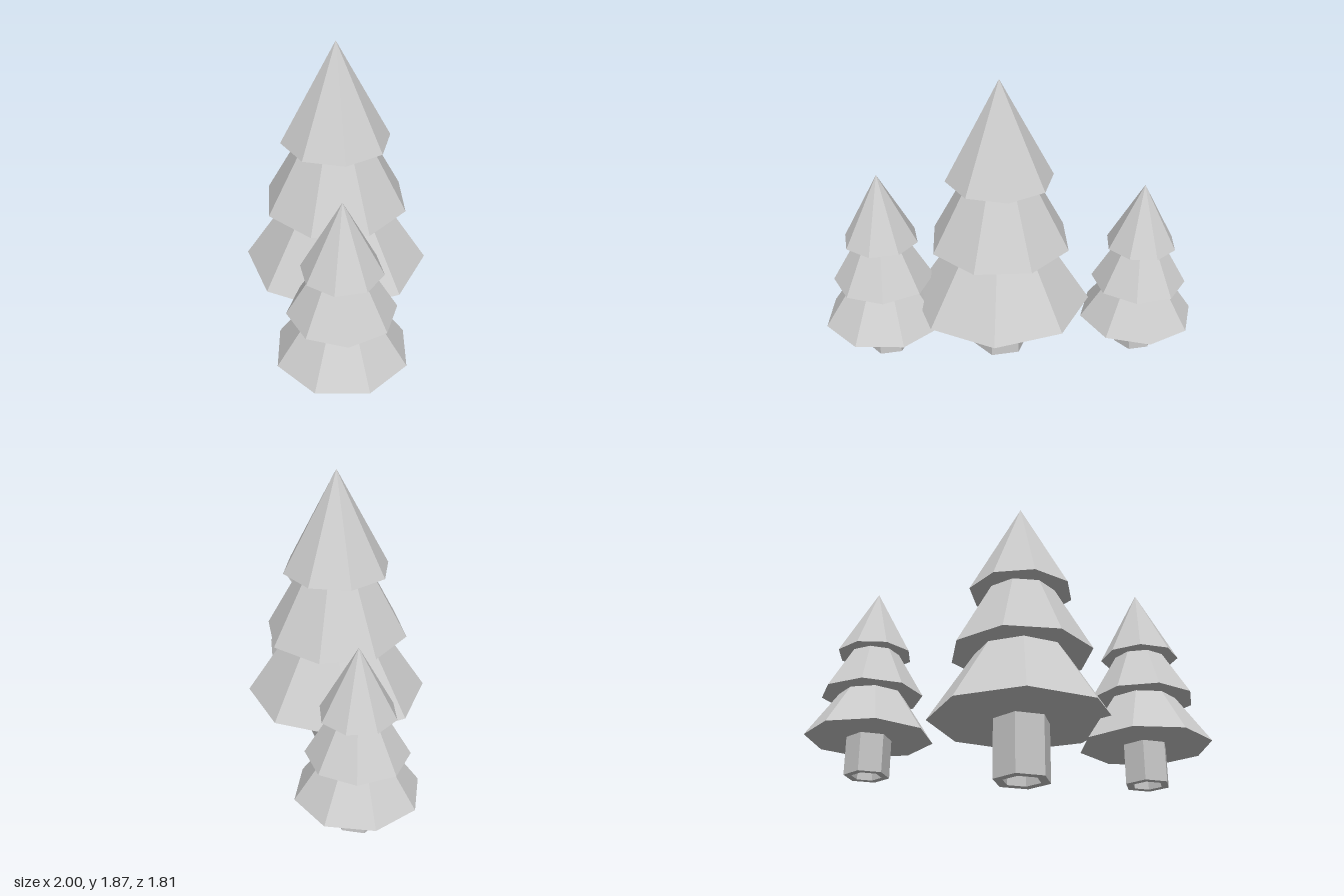
import * as THREE from 'three';

const DEG = Math.PI / 180;

export function createModel() {
  const grey = new THREE.MeshStandardMaterial({ color: 0xcccccc });
  grey.name = 'lightGrey';
  grey.flatShading = true;

  // Six-sided trunk with a recess in its underside
  function makeTrunk(radius, height) {
    const hole = radius * 0.66;
    const profile = [
      [0, height * 0.7], [hole, height * 0.7], [hole, 0], [radius, 0], [radius, height + 0.02],
    ].map(([r, y]) => new THREE.Vector2(r, y));
    const mesh = new THREE.Mesh(new THREE.LatheGeometry(profile, 6), grey);
    mesh.name = 'trunk';
    return mesh;
  }

  // Eight-sided cone of foliage, closed underneath
  function makeTier([radius, base, apex], turn) {
    const geometry = new THREE.ConeGeometry(radius, apex - base, 8);
    geometry.rotateY(-turn * DEG);
    geometry.translate(0, (base + apex) / 2, 0);
    return new THREE.Mesh(geometry, grey);
  }

  // Each tier is twisted a little further than the one below
  function makeTree({ name, x, z, trunk, turn, tiers }) {
    const tree = new THREE.Group();
    tree.name = name;
    tree.position.set(x, 0, z);
    tree.add(makeTrunk(trunk, tiers[0][1]));
    tiers.forEach((tier, i) => {
      const mesh = makeTier(tier, turn + i * 16.5);
      mesh.name = ['lowerFoliage', 'middleFoliage', 'topFoliage'][i];
      tree.add(mesh);
    });
    return tree;
  }

  // Tiers: radius, base height, apex height
  const trees = [
    {
      name: 'tallTree', x: 0.045, z: 0.045, trunk: 0.18, turn: 0,
      tiers: [[0.575, 0.37, 1.25], [0.453, 0.8, 1.63], [0.337, 1.23, 1.865]],
    },
    {
      name: 'smallTree', x: -0.635, z: -0.54, trunk: 0.131, turn: -11.5,
      tiers: [[0.373, 0.225, 0.77], [0.302, 0.488, 1.01], [0.225, 0.755, 1.17]],
    },
    {
      name: 'mediumTree', x: 0.62, z: 0.527, trunk: 0.138, turn: 20,
      tiers: [[0.4, 0.24, 0.83], [0.32, 0.53, 1.08], [0.239, 0.813, 1.26]],
    },
  ];

  const model = new THREE.Group();
  model.name = 'pineTrees';
  trees.forEach((tree) => model.add(makeTree(tree)));
  return model;
}
